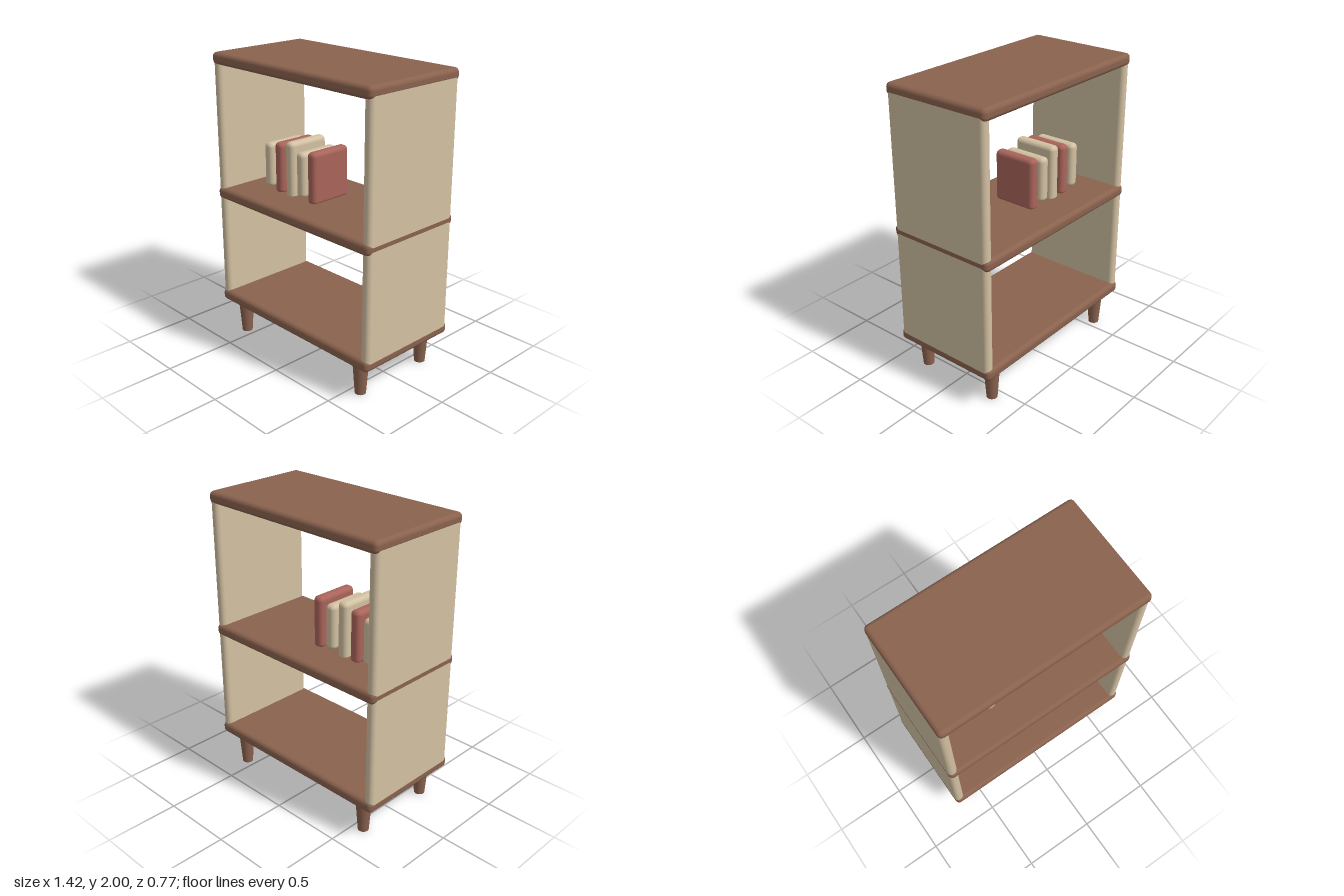
import * as THREE from 'three';
import { RoundedBoxGeometry } from 'three/addons/geometries/RoundedBoxGeometry.js';

function material(name, color) {
  const m = new THREE.MeshStandardMaterial({ color });
  m.name = name;
  return m;
}

export function createModel() {
  const wood = material('brown wood', 0x8a624e);
  const cream = material('cream', 0xd2c0a2);
  const red = material('dusty red', 0xa9645a);
  const model = new THREE.Group();
  model.name = 'bookshelf';

  function add(name, geometry, mat, x, y, z) {
    const mesh = new THREE.Mesh(geometry, mat);
    mesh.name = name;
    mesh.position.set(x, y, z);
    model.add(mesh);
  }

  // Three horizontal boards
  const board = new RoundedBoxGeometry(1.424, 0.08, 0.77, 4, 0.03);
  add('bottomBoard', board, wood, 0, 0.27, 0);
  add('middleShelf', board, wood, 0, 1.04, 0);
  add('topBoard', board, wood, 0, 1.96, 0);

  // Side panels, ending inside the top and bottom boards
  const panel = new RoundedBoxGeometry(0.066, 1.71, 0.75, 4, 0.03);
  add('leftPanel', panel, cream, 0.6785, 1.115, 0);
  add('rightPanel', panel, cream, -0.6785, 1.115, 0);

  // Tapered legs
  const leg = new THREE.CylinderGeometry(0.054, 0.036, 0.24, 24);
  for (const x of [-0.57, 0.57]) {
    for (const z of [-0.285, 0.285]) {
      add((z > 0 ? 'front' : 'back') + (x > 0 ? 'Left' : 'Right') + 'Leg', leg, wood, x, 0.12, z);
    }
  }

  // Row of books of differing heights
  const heights = [0.307, 0.354, 0.402, 0.307, 0.354];
  heights.forEach((height, i) => {
    const book = new RoundedBoxGeometry(0.075, height, 0.31, 4, 0.03);
    add('book' + (i + 1), book, i === 1 || i === 4 ? red : cream, -0.45 + i * 0.106, 1.243, 0);
  });

  return model;
}
